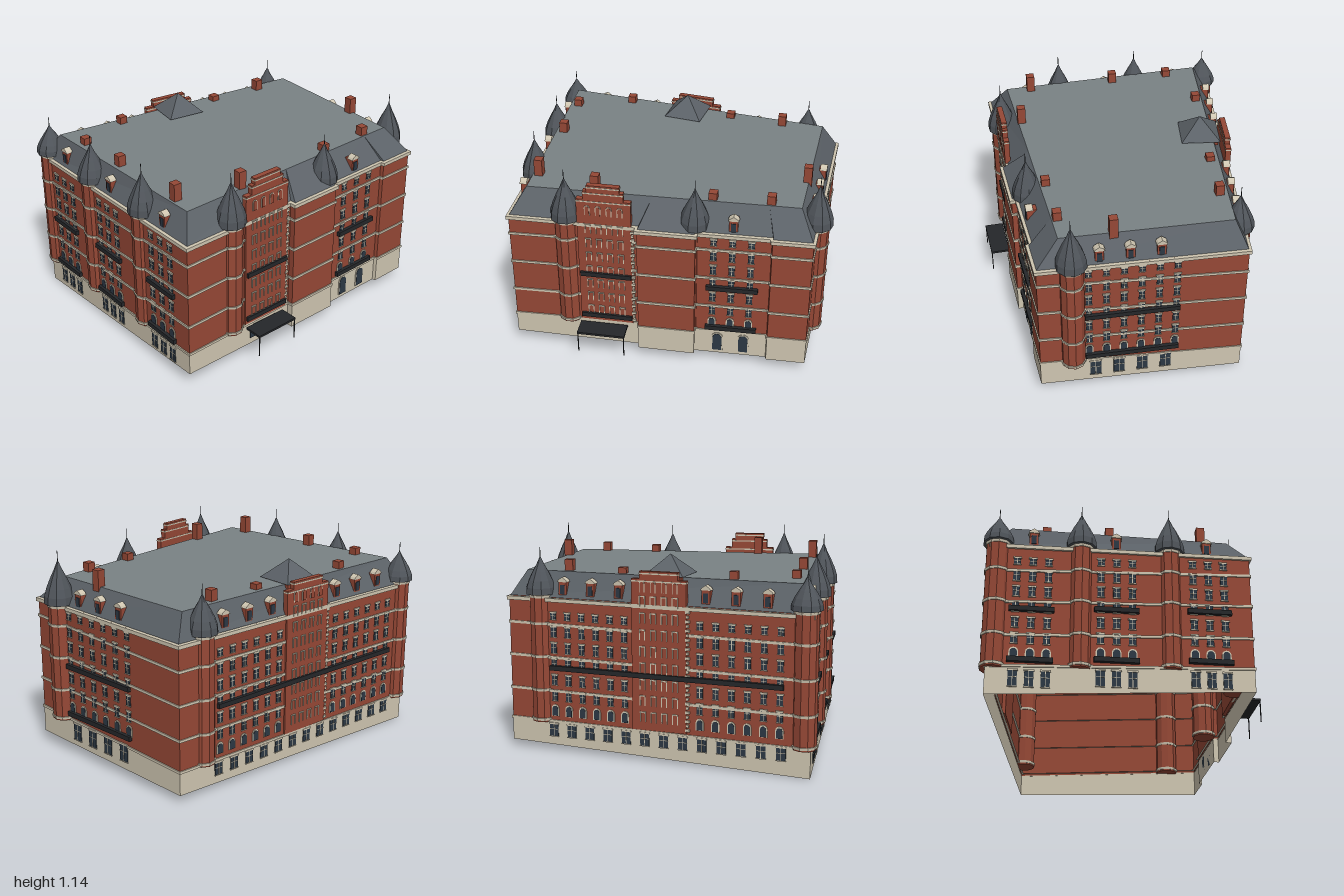
import * as THREE from 'three';
import { mergeGeometries } from 'three/addons/utils/BufferGeometryUtils.js';

const paint = (color) => new THREE.MeshStandardMaterial({ color, side: THREE.DoubleSide, flatShading: true });
const brick = paint(0x964836), stone = paint(0xcfc6b1), slate = paint(0x5c6268), deckGrey = paint(0x7a8285),
  spire = paint(0x50555b), glass = paint(0x2c3844), iron = paint(0x25272a);

// Eaves outline: [x, z, ground y, drop of the bands]
const eave = [
  [-0.602, 0.768, 0.077, -0.015], [0.065, 0.568, 0.072, 0], [0.075, 0.6, 0.072, 0],
  [0.385, 0.503, 0.068, 0], [0.375, 0.475, 0.068, 0], [0.737, 0.358, 0.066, 0],
  [0.747, 0.375, 0.066, 0], [0.96, 0.307, 0.065, 0], [0.711, -0.768, 0.04, -0.05], [-0.967, -0.545, 0, -0.065]];
const flat = [[-0.545, 0.64], [0.1, 0.435], [0.1, 0.435], [0.33, 0.362], [0.33, 0.362],
  [0.68, 0.25], [0.68, 0.25], [0.84, 0.2], [0.635, -0.68], [-0.87, -0.46]];

// Mitred inward offset of the outline
function inset(poly, d) {
  const n = poly.length;
  const normal = (a, b) => new THREE.Vector2(a[1] - b[1], b[0] - a[0]).normalize();
  return poly.map((p, i) => {
    const a = normal(poly[(i + n - 1) % n], p), b = normal(p, poly[(i + 1) % n]);
    const k = -d / (1 + a.dot(b));
    return [p[0] + (a.x + b.x) * k, p[1] + (a.y + b.y) * k];
  });
}
const at = (poly, y) => poly.map((p, i) => [p[0], y(eave[i]), p[1]]);

// Closed strip joining a series of matching loops
function loft(...loops) {
  const v = [], n = loops[0].length;
  for (let k = 0; k + 1 < loops.length; k++) for (let i = 0; i < n; i++) {
    const j = (i + 1) % n, a = loops[k][i], b = loops[k][j], c = loops[k + 1][j], d = loops[k + 1][i];
    v.push(...a, ...b, ...c, ...a, ...c, ...d);
  }
  const g = new THREE.BufferGeometry();
  g.setAttribute('position', new THREE.Float32BufferAttribute(v, 3));
  g.computeVertexNormals();
  return g;
}
function mesh(parent, name, geometry, material) {
  const m = new THREE.Mesh(geometry, material);
  m.name = name;
  parent.add(m);
  return m;
}
const box = (w, h, d, x, y, z) => new THREE.BoxGeometry(w, h, d).translate(x, y, z);
function prism(points, depth, x, y, z) {
  const s = new THREE.Shape(points.map((p) => new THREE.Vector2(...p)));
  return new THREE.ExtrudeGeometry(s, { depth, bevelEnabled: false }).translate(x, y, z);
}
function arch(w, h, depth, x, y, z) {
  const pts = [[-w / 2, -h / 2], [w / 2, -h / 2]];
  for (let i = 0; i <= 6; i++) {
    const a = i * Math.PI / 6;
    pts.push([Math.cos(a) * w / 2, h / 2 - w / 2 + Math.sin(a) * w / 2]);
  }
  return prism(pts, depth, x, y, z);
}

const walls = inset(eave, 0.008);

// One wall: local x runs along it, local z points outward; parts merge by name
class Facade {
  constructor(name, i, j) {
    const [p, q] = [walls[i], walls[j]], dx = q[0] - p[0], dz = q[1] - p[1];
    this.len = Math.hypot(dx, dz);
    this.group = new THREE.Group();
    this.group.name = name;
    this.group.position.set(p[0], 0, p[1]);
    this.group.rotation.y = Math.atan2(-dz, dx);
    this.parts = new Map();
  }
  put(name, material, g) {
    if (!this.parts.has(name)) this.parts.set(name, { material, list: [] });
    this.parts.get(name).list.push(g.index ? g.toNonIndexed() : g);
  }
  spread(t0, t1, n, f) {
    for (let i = 0; i < n; i++) f(this.len * (t0 + (t1 - t0) * i / (n - 1)));
  }
  window(x, y, w, h) {
    this.put('windowPanes', glass, box(w, h, 0.004, x, y, 0.004));
    this.put('windowTrim', stone, box(w + 0.008, 0.009, 0.007, x, y + h / 2 + 0.004, 0.005));
    this.put('windowTrim', stone, box(w + 0.004, 0.004, 0.008, x, y - h / 2, 0.005));
    this.put('windowTrim', stone, box(0.003, h, 0.005, x, y, 0.005));
    this.put('windowTrim', stone, box(w, 0.003, 0.005, x, y + h * 0.1, 0.005));
  }
  archWindow(x, y, w, h) {
    this.put('windowTrim', stone, arch(w + 0.012, h + 0.01, 0.004, x, y + 0.003, 0.001));
    this.put('windowPanes', glass, arch(w, h, 0.006, x, y, 0.001));
  }
  // Seven storeys of windows
  bays(t0, t1, n, drop, w = 0.032) {
    this.spread(t0, t1, n, (x) => {
      this.window(x, 0.8 + drop, w, 0.036);
      for (let r = 1; r < 6; r++) this.window(x, 0.802 - r * 0.088 + drop, w, 0.054);
      this.archWindow(x, 0.28 + drop, w, 0.055);
    });
  }
  balcony(t0, t1, y) {
    const w = (t1 - t0) * this.len;
    this.put('balconies', iron, box(w, 0.026, 0.02, (t0 + t1) / 2 * this.len, y, 0.012));
  }
  dormer(t) {
    const x = t * this.len;
    this.put('dormerBodies', brick, box(0.046, 0.08, 0.055, x, 0.89, -0.042));
    this.put('dormerPanes', glass, box(0.026, 0.05, 0.004, x, 0.89, -0.013));
    this.put('dormerPediments', stone, prism([[-0.029, 0], [0.029, 0], [0.022, 0.012], [0, 0.026], [-0.022, 0.012]], 0.038, x, 0.93, -0.048));
  }
  // Stepped brick gable with slim framed bays and quoins; tops are [width share, height]
  gable(t0, t1, bottom, tops) {
    const c = (t0 + t1) / 2 * this.len, w = (t1 - t0) * this.len;
    tops.forEach(([k, y], i) => {
      const from = i ? tops[i - 1][1] : bottom;
      this.put('gableWall', brick, box(w * k, y - from, 0.03, c, (y + from) / 2, -0.005));
      this.put('gableCopings', stone, box(w * k + 0.004, 0.007, 0.034, c, y - 0.012, -0.005));
    });
    for (const k of [-0.3, -0.1, 0.1, 0.3]) {
      for (let y = bottom + 0.07; y < 0.88; y += 0.088) {
        for (const s of [-1, 1]) this.put('gableTrim', stone, box(0.004, 0.05, 0.006, c + k * w + s * 0.014, y, 0.012));
        this.put('gableTrim', stone, box(0.032, 0.006, 0.008, c + k * w, y + 0.028, 0.012));
      }
      this.put('gableTrim', stone, arch(0.03, 0.06, 0.003, c + k * w, 0.935, 0.01));
      this.put('gablePanels', brick, arch(0.022, 0.055, 0.005, c + k * w, 0.933, 0.01));
    }
    for (let y = bottom + 0.02, i = 0; y < 0.84; y += 0.024, i++) {
      this.put('quoins', stone, box(i % 2 ? 0.012 : 0.022, 0.014, 0.01, t1 * this.len + 0.006, y, 0.006));
    }
  }
  build(root) {
    for (const [name, { material, list }] of this.parts) mesh(this.group, name, mergeGeometries(list), material);
    root.add(this.group);
  }
}

function tower(root, x, z, drop, tip) {
  const g = new THREE.Group();
  g.name = 'cornerTurret';
  g.position.set(x, 0, z);
  const low = 0.21 + drop, eaves = 0.86, h = tip - 0.05 - eaves;
  mesh(g, 'turretShaft', new THREE.CylinderGeometry(0.063, 0.063, eaves - low, 10).translate(0, (eaves + low) / 2, 0), brick);
  for (const y of [0.225 + drop, 0.39 + drop, 0.575 + drop, 0.755 + drop, 0.85])
    mesh(g, 'turretBand', new THREE.CylinderGeometry(0.069, 0.067, 0.014, 10).translate(0, y, 0), stone);
  const profile = [[0, 0], [0.081, 0], [0.079, 0.18], [0.066, 0.37], [0.043, 0.6], [0.02, 0.8], [0.006, 0.95], [0, 1]];
  mesh(g, 'turretSpire', new THREE.LatheGeometry(profile.map(([r, k]) => new THREE.Vector2(r, eaves + k * h)), 10), spire);
  mesh(g, 'finial', new THREE.CylinderGeometry(0.0015, 0.003, 0.07, 5).translate(0, tip - 0.035, 0), iron);
  root.add(g);
}

export function createModel() {
  const root = new THREE.Group();
  root.name = 'cornerBlockHotel';

  // Hollow shell: stone base on a slope, brick above
  const baseTop = (e) => 0.215 + e[3], cornice = (e) => 0.853 + 0.2 * e[3];
  const base = inset(eave, 0.007);
  mesh(root, 'stoneBase', loft(at(base, (e) => e[2]), at(base, baseTop)), stone);
  mesh(root, 'brickWalls', loft(at(walls, baseTop), at(walls, cornice)), brick);

  // String courses and eaves cornice
  const belt = (name, y, h, out) => {
    const o = inset(eave, 0.008 - out), inner = inset(eave, 0.02);
    mesh(root, name, loft(at(walls, (e) => y(e) - h), at(o, (e) => y(e) - h), at(o, y), at(inner, y)), stone);
  };
  for (const y of [0.225, 0.395, 0.58, 0.76]) belt('stringCourse', (e) => y + e[3], 0.014, 0.006);
  belt('cornice', cornice, 0.02, 0.011);

  // Mansard and flat roof
  mesh(root, 'mansardRoof', loft(at(inset(eave, 0.013), (e) => cornice(e) + 0.003), at(flat, () => 0.98)), slate);
  const deck = new THREE.ShapeGeometry(new THREE.Shape(flat.map(([x, z]) => new THREE.Vector2(x, -z))));
  mesh(root, 'flatRoof', deck.rotateX(-Math.PI / 2).translate(0, 0.98, 0), deckGrey);

  // Turrets: x, z, band drop, tip height
  [[-0.915, -0.515, -0.062, 1.075], [0.535, -0.705, -0.05, 1.11], [0.907, 0.13, -0.008, 1.145], [0.335, 0.418, 0, 1.13],
    [-0.31, 0.642, -0.008, 1.145], [-0.675, 0.345, -0.03, 1.135], [-0.803, -0.1, -0.048, 1.12]]
    .forEach((t) => tower(root, ...t));

  // Entrance front with gable, door and canopy
  const entry = new Facade('entranceFront', 0, 1);
  entry.gable(0.54, 0.955, 0.22, [[1, 1.0], [0.74, 1.05], [0.6, 1.085]]);
  entry.balcony(0.55, 0.95, 0.53);
  entry.balcony(0.55, 0.95, 0.255);
  const mid = 0.725 * entry.len;
  entry.put('entranceDoor', glass, box(0.18, 0.08, 0.004, mid, 0.152, 0.004));
  entry.put('canopy', iron, box(0.262, 0.012, 0.105, mid, 0.203, 0.073));
  for (const s of [-1, 1]) entry.put('canopyPosts', iron, box(0.005, 0.125, 0.005, mid + s * 0.127, 0.14, 0.122));
  entry.build(root);

  // Front wing beside the entrance
  const wing = new Facade('frontWing', 4, 5);
  wing.bays(0.24, 0.74, 3, 0);
  wing.balcony(0.15, 0.85, 0.515);
  wing.balcony(0.15, 0.85, 0.25);
  wing.dormer(0.49);
  wing.spread(0.32, 0.68, 2, (x) => wing.archWindow(x, 0.145, 0.05, 0.11));
  wing.build(root);

  // Left side
  const side = new Facade('leftFacade', 7, 8);
  side.bays(0.24, 0.66, 6, 0);
  side.balcony(0.22, 0.677, 0.52);
  side.balcony(0.22, 0.677, 0.245);
  [0.295, 0.44, 0.585].forEach((t) => side.dormer(t));
  side.spread(0.27, 0.617, 4, (x) => side.window(x, 0.142, 0.058, 0.095));
  side.build(root);

  // Back with long balcony and central gable
  const back = new Facade('backFacade', 8, 9);
  back.bays(0.156, 0.4, 6, -0.055);
  back.bays(0.65, 0.904, 6, -0.055);
  back.balcony(0.144, 0.916, 0.465);
  [0.4, 0.24, 0.08, -0.4, -0.56, -0.725].forEach((x) => back.dormer((0.71 - x) / 1.67));
  back.gable(0.427, 0.607, 0.17, [[1, 0.975], [0.7, 1.015]]);
  back.spread(0.15, 0.91, 13, (x) => back.window(x, 0.115, 0.05, 0.068));
  back.build(root);

  // Right side: three narrow groups stepping down the slope
  const street = new Facade('rightFacade', 9, 0);
  [[0.16, -0.055], [0.48, -0.035], [0.835, -0.018]].forEach(([t, drop]) => {
    street.bays(t - 0.06, t + 0.06, 3, drop, 0.036);
    street.balcony(t - 0.085, t + 0.085, 0.525 + drop);
    street.balcony(t - 0.085, t + 0.085, 0.245 + drop);
    street.spread(t - 0.06, t + 0.06, 3, (x) => street.window(x, 0.145 + drop, 0.045, 0.085));
    street.dormer(t);
  });
  street.build(root);

  // Chimneys: x, z, top
  [[-0.77, -0.295, 1.02], [-0.68, 0.025, 1.04], [-0.55, 0.5, 1.075], [-0.2, 0.51, 1.075], [0.39, 0.31, 1.02],
    [0.68, 0.22, 1.03], [0.77, -0.07, 1.07], [0.415, -0.6, 1.04], [0.11, -0.555, 1.01], [-0.5, -0.475, 1.02]].forEach(([x, z, top]) => {
    const m = mesh(root, 'chimney', box(0.045, top - 0.9, 0.045, 0, (top + 0.9) / 2, 0), brick);
    m.position.set(x, 0, z);
    m.rotation.y = 0.25;
  });

  // Pyramid roof behind the back gable
  const pavilion = new THREE.Group();
  pavilion.name = 'roofPavilion';
  pavilion.position.set(-0.143, 0, -0.497);
  pavilion.rotation.y = 0.12;
  mesh(pavilion, 'pavilionWall', box(0.19, 0.03, 0.19, 0, 0.975, 0), brick);
  mesh(pavilion, 'pavilionRoof', new THREE.ConeGeometry(0.152, 0.105, 4).rotateY(Math.PI / 4).translate(0, 1.038, 0), slate);
  root.add(pavilion);
  return root;
}
